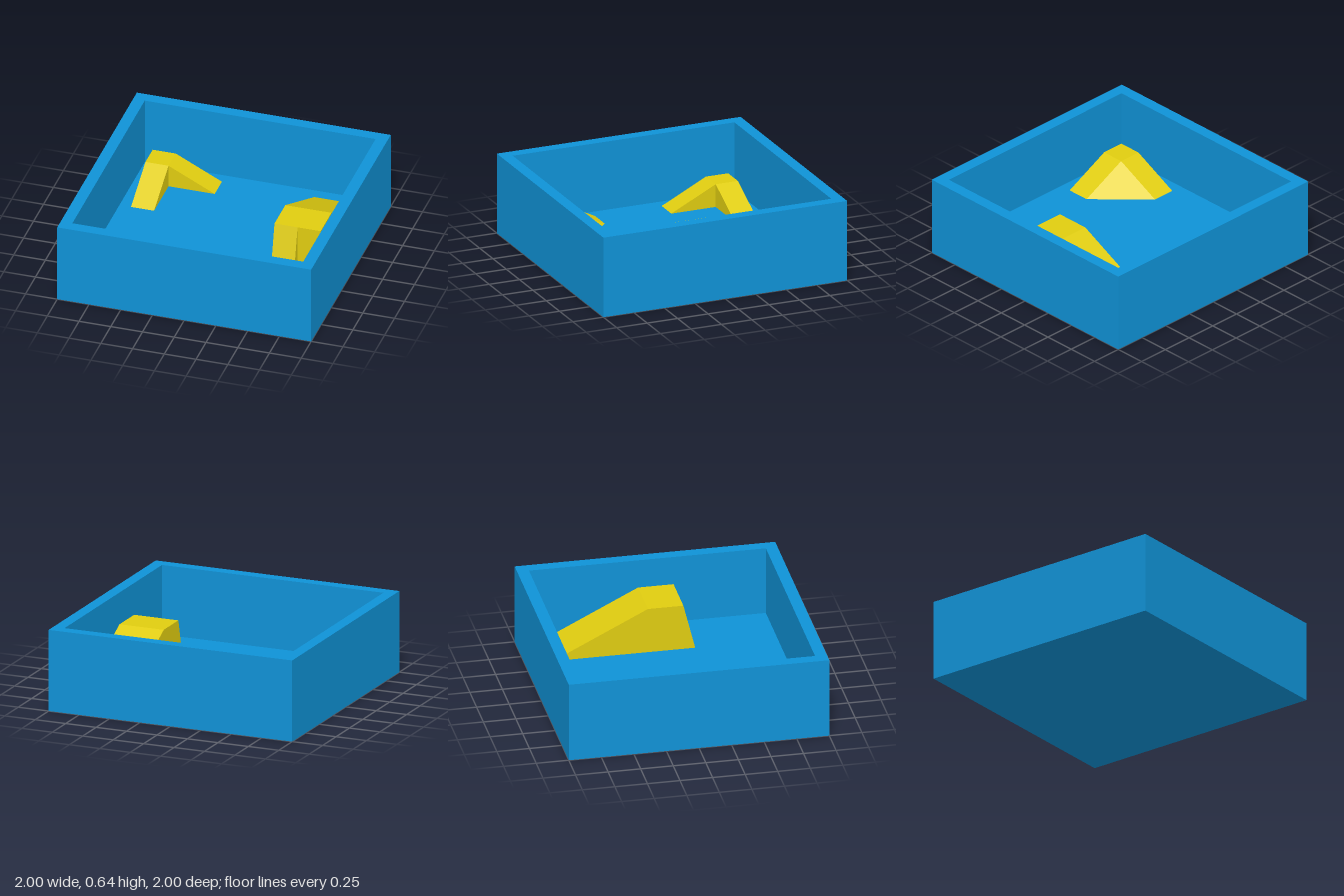
import * as THREE from 'three';
import { ConvexGeometry } from 'three/addons/geometries/ConvexGeometry.js';

const U = 1 / 11; // grid unit: the tray is 22 x 7 x 22 units

export function createModel() {
  const model = new THREE.Group();
  model.name = 'trayWithRamps';
  const blue = new THREE.MeshStandardMaterial({ name: 'blue', color: 0x0f92d6 });
  const yellow = new THREE.MeshStandardMaterial({ name: 'yellow', color: 0xdfcc10 });

  const add = (parent, name, geometry, material) => {
    const mesh = new THREE.Mesh(geometry, material);
    mesh.name = name;
    parent.add(mesh);
    return mesh;
  };

  // Square outline with half-width h
  const square = (Type, h) => new Type([[-h, -h], [h, -h], [h, h], [-h, h]].map(([x, y]) => new THREE.Vector2(x, y)));

  // Tray: square wall ring with a floor one unit thick
  const tray = new THREE.Group();
  tray.name = 'tray';
  model.add(tray);
  const ring = square(THREE.Shape, 11 * U);
  ring.holes.push(square(THREE.Path, 10 * U));
  const walls = new THREE.ExtrudeGeometry(ring, { depth: 7 * U, bevelEnabled: false }).rotateX(-Math.PI / 2);
  add(tray, 'walls', walls, blue);
  add(tray, 'floor', new THREE.BoxGeometry(20 * U, U, 20 * U).translate(0, U / 2, 0), blue);

  // Convex block standing on the floor: base outline and top outline as [x, z] in units
  const block = (parent, name, base, top, height) => {
    const level = (points, y) => points.map(([x, z]) => new THREE.Vector3(x * U, y * U, z * U));
    add(parent, name, new ConvexGeometry([...level(base, 1), ...level(top, 1 + height)]), yellow);
  };
  const rect = (x0, x1, z0, z1) => [[x0, z0], [x1, z0], [x1, z1], [x0, z1]];

  // Inside-corner ramp: raised corner with two arms sloping down
  const inner = new THREE.Group();
  inner.name = 'lShapedRamp';
  model.add(inner);
  block(inner, 'sideArm', rect(-9, -3, -9, -7), rect(-9, -7, -9, -7), 2);
  block(inner, 'frontArm', rect(-9, -7, -7, -3), [[-9, -7], [-7, -7]], 2);

  // Filled corner ramp with a diagonal slope between the two arms
  block(model, 'cornerRamp',
    [[-9, 9], [-3, 9], [-3, 7], [-7, 3], [-9, 3]], rect(-9, -7, 7, 9), 2);

  // Long ramp with a steep half-width foot at its front
  const long = new THREE.Group();
  long.name = 'longRamp';
  model.add(long);
  block(long, 'slope', rect(5, 9, -9, 2), rect(5, 9, -1, 2), 4);
  block(long, 'steepFoot', rect(5, 7, 2, 3), [[5, 2], [7, 2]], 4);

  return model;
}
